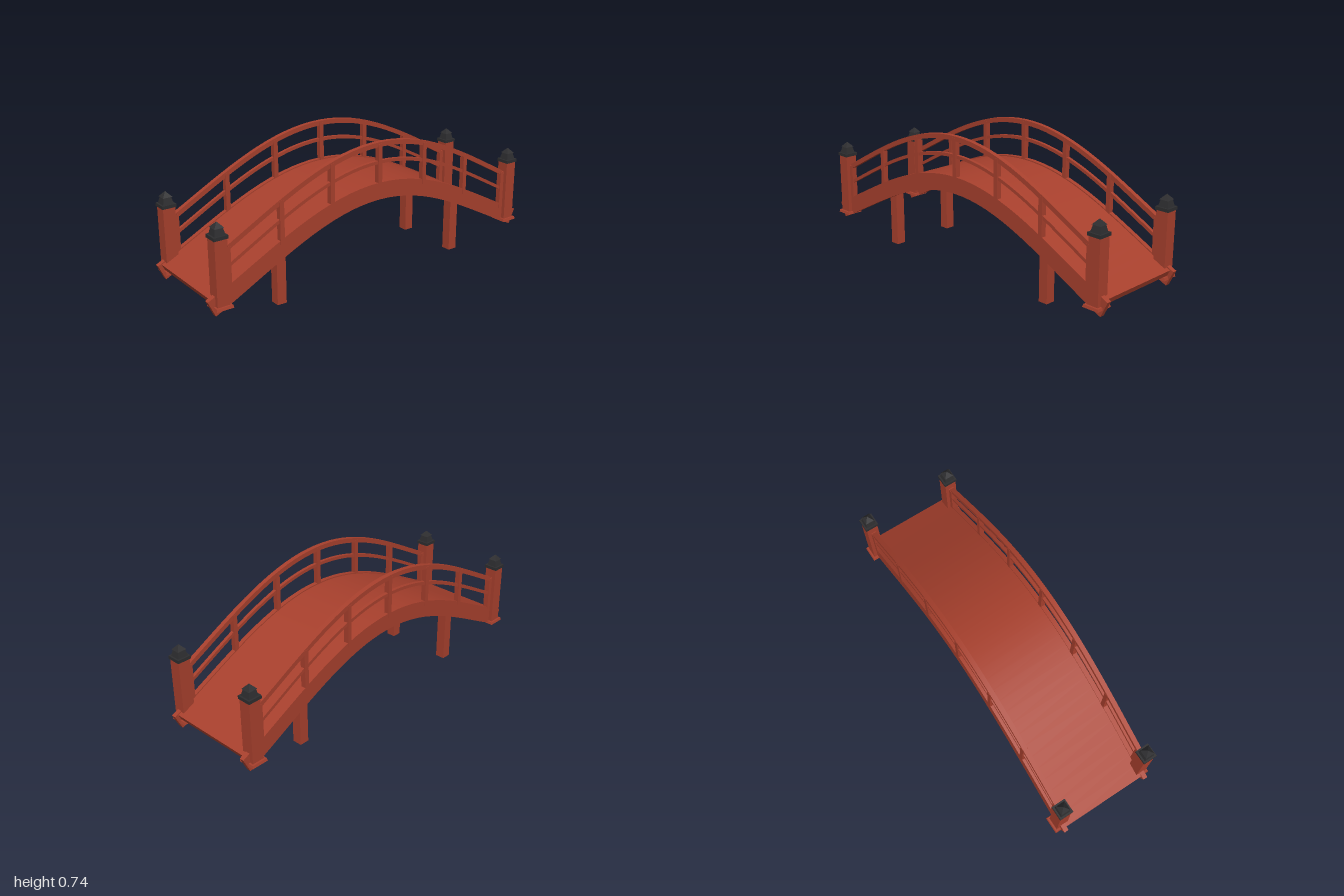
import * as THREE from 'three';
import { toCreasedNormals } from 'three/addons/utils/BufferGeometryUtils.js';

export function createModel() {
  const red = new THREE.MeshStandardMaterial({ color: 0xa8402d });
  red.name = 'red lacquer';
  const black = new THREE.MeshStandardMaterial({ color: 0x2d2d2f });
  black.name = 'black metal';

  const bridge = new THREE.Group();
  bridge.name = 'archedBridge';

  const add = (name, geometry, material, x, y, z, parent = bridge) => {
    const mesh = new THREE.Mesh(geometry, material);
    mesh.name = name;
    mesh.position.set(x, y, z);
    parent.add(mesh);
    return mesh;
  };

  // Height of an arch line: flat crest easing into straighter ends
  const arch = (x, crest, rise) => crest - rise * (1 - Math.cos(2 * x));

  // Curved bar: the arch line and its copy offset along the normal, extruded across z
  const archBar = (crest, rise, halfLength, thickness, width) => {
    const top = [], bottom = [], n = 32;
    for (let i = 0; i <= n; i++) {
      const x = halfLength * (2 * i / n - 1);
      const y = arch(x, crest, rise);
      const normal = new THREE.Vector2(2 * rise * Math.sin(2 * x), 1).normalize();
      top.push(new THREE.Vector2(x, y));
      bottom.push(new THREE.Vector2(x - normal.x * thickness, y - normal.y * thickness));
    }
    const shape = new THREE.Shape([...bottom, ...top.reverse()]);
    const geometry = new THREE.ExtrudeGeometry(shape, { depth: width, bevelEnabled: false });
    geometry.translate(0, 0, -width / 2);
    return toCreasedNormals(geometry, 0.5);
  };

  // Square block that tapers from bottom to top
  const taper = (bottomWidth, topWidth, height) => {
    const g = new THREE.CylinderGeometry(topWidth / Math.SQRT2, bottomWidth / Math.SQRT2, height, 4, 1);
    g.rotateY(Math.PI / 4);
    return toCreasedNormals(g, 0.5);
  };

  const railZ = 0.251;

  // Walking deck
  add('deck', archBar(0.519, 0.26, 0.98, 0.035, 0.48), red, 0, 0, 0);

  const beam = archBar(0.525, 0.26, 1, 0.09, 0.025);
  const topRail = archBar(0.737, 0.272, 0.885, 0.025, 0.025);
  const midRail = archBar(0.64, 0.272, 0.885, 0.017, 0.018);

  for (const side of [1, -1]) {
    const z = side * railZ;
    add('sideBeam', beam, red, 0, 0, z);
    add('topRail', topRail, red, 0, 0, z);
    add('middleRail', midRail, red, 0, 0, z);

    // Railing uprights
    for (let i = -3; i <= 3; i++) {
      const x = i * 0.294;
      const low = arch(x, 0.5, 0.26);
      const high = arch(x, 0.727, 0.272);
      add('baluster', new THREE.BoxGeometry(0.024, high - low, 0.028), red, x, (low + high) / 2, z);
    }

    for (const end of [1, -1]) {
      // Corner post with its foot and stepped cap
      const post = new THREE.Group();
      post.name = 'cornerPost';
      post.position.set(end * 0.928, 0, z);
      bridge.add(post);
      add('postShaft', new THREE.BoxGeometry(0.066, 0.335, 0.065), red, 0, 0.2875, 0, post);
      add('postFoot', taper(0.092, 0.085, 0.014), red, 0, 0.118, 0, post);
      add('capPlate', new THREE.BoxGeometry(0.075, 0.017, 0.075), black, 0, 0.463, 0, post);
      add('capNeck', taper(0.057, 0.04, 0.036), black, 0, 0.489, 0, post);
      add('capRoof', taper(0.05, 0.001, 0.027), black, 0, 0.5195, 0, post);

      // Support leg
      add('supportLeg', new THREE.BoxGeometry(0.052, 0.345, 0.052), red, end * 0.567, 0.1725, side * 0.186);
    }
  }

  // Crossbeams joining each pair of legs
  for (const end of [1, -1]) {
    add('crossbeam', new THREE.BoxGeometry(0.05, 0.05, 0.42), red, end * 0.567, 0.318, 0);
  }

  return bridge;
}
